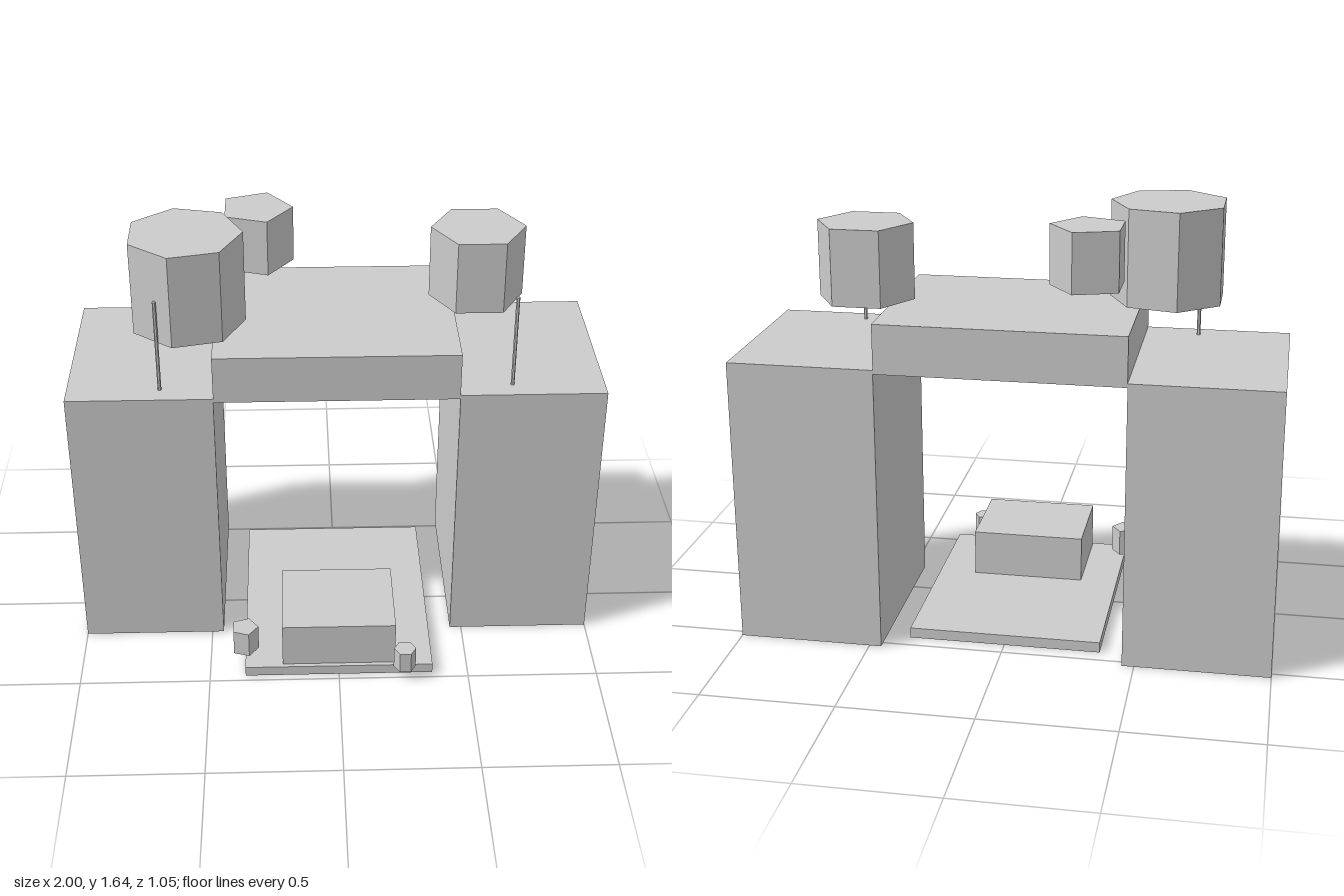
import * as THREE from 'three';

export function createModel() {
  const model = new THREE.Group();
  const grey = new THREE.MeshStandardMaterial({ color: 0xcccccc, flatShading: true });

  function add(name, geometry, x, y, z) {
    const mesh = new THREE.Mesh(geometry, grey);
    mesh.name = name;
    mesh.position.set(x, y, z);
    model.add(mesh);
  }

  // Box given by its extents on each axis
  function block(name, [x0, x1], [y0, y1], [z0, z1]) {
    add(name, new THREE.BoxGeometry(x1 - x0, y1 - y0, z1 - z0),
      (x0 + x1) / 2, (y0 + y1) / 2, (z0 + z1) / 2);
  }

  // Upright prism with one corner pointing to +x
  function prism(name, sides, radius, x, z, y0, y1) {
    add(name, new THREE.CylinderGeometry(radius, radius, y1 - y0, sides, 1, false, Math.PI / 2),
      x, (y0 + y1) / 2, z);
  }

  // Two towers joined by a raised bridge
  const depth = [-0.53, 0.2];
  block('leftTower', [0.455, 1], [0, 1.09], depth);
  block('rightTower', [-1, -0.455], [0, 1.09], depth);
  block('bridge', [-0.455, 0.455], [1.075, 1.26], depth);

  // Thin poles on the towers
  prism('leftPole', 6, 0.007, 0.655, 0.125, 1.09, 1.455);
  prism('rightPole', 6, 0.007, -0.655, 0.125, 1.09, 1.455);

  // Floating prisms above the towers
  prism('largeUpperPrism', 7, 0.2165, -0.55, -0.059, 1.28, 1.64);
  prism('smallUpperPrism', 5, 0.142, -0.293, -0.348, 1.385, 1.605);
  prism('mediumUpperPrism', 6, 0.18, 0.545, -0.24, 1.28, 1.565);

  // Floor slab with a low block and two little prisms beside it
  block('floorSlab', [-0.3625, 0.3625], [0, 0.04], [-0.44, 0.472]);
  block('lowBlock', [-0.218, 0.218], [0.04, 0.22], [0.094, 0.455]);
  prism('rightSmallPrism', 5, 0.053, -0.364, 0.377, 0.06, 0.165);
  prism('leftSmallPrism', 6, 0.0425, 0.253, 0.488, 0.047, 0.135);

  return model;
}
